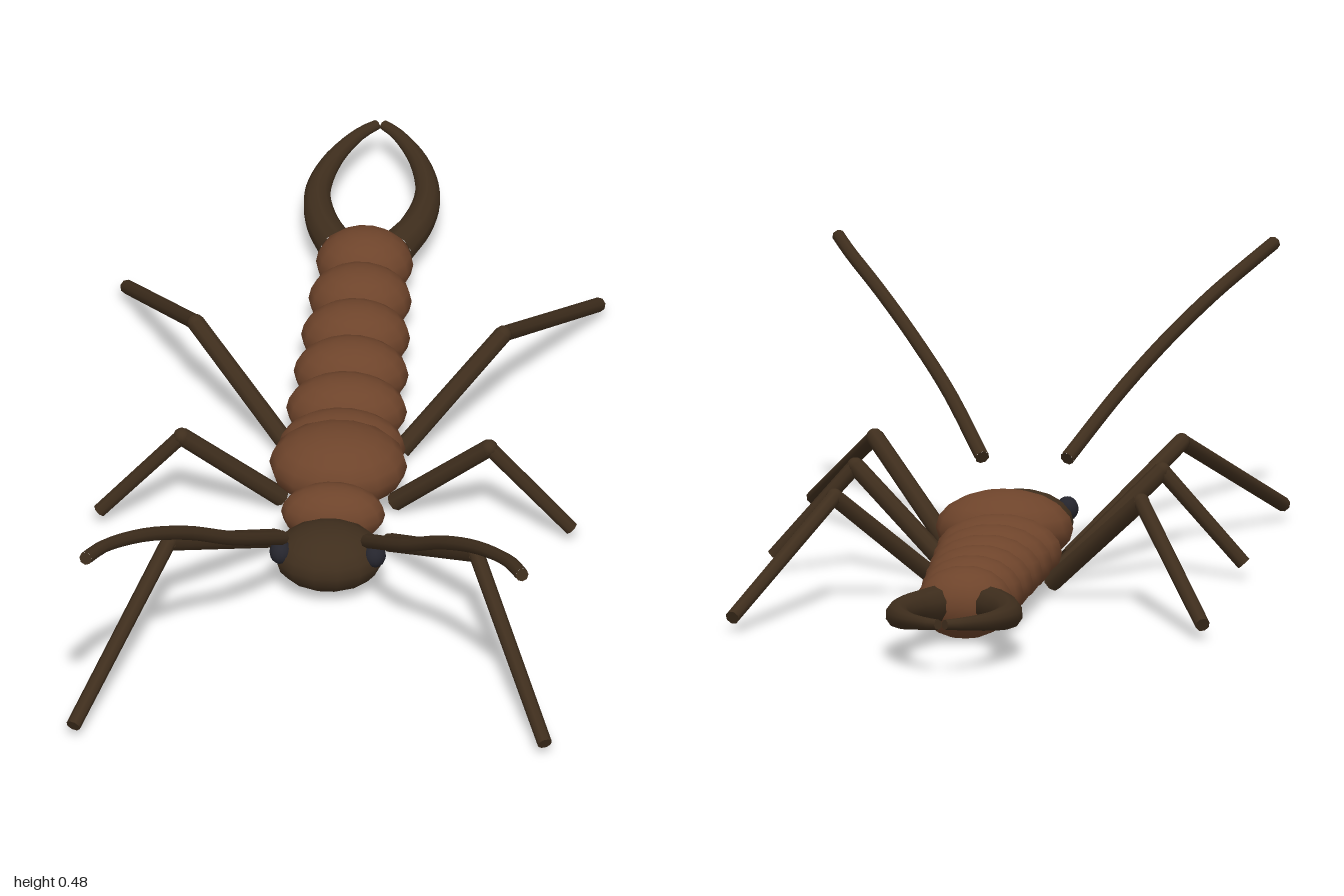
import * as THREE from 'three';

const shell = new THREE.MeshStandardMaterial({ color: 0x6e442b });
shell.name = 'chestnut shell';
const limb = new THREE.MeshStandardMaterial({ color: 0x3f2e1d });
limb.name = 'dark brown limb';
const eyeDark = new THREE.MeshStandardMaterial({ color: 0x25252d });
eyeDark.name = 'eye charcoal';

function ellipsoid(name, material, centre, radii) {
  const mesh = new THREE.Mesh(new THREE.SphereGeometry(1, 14, 10), material);
  mesh.name = name;
  mesh.position.set(...centre);
  mesh.scale.set(...radii);
  return mesh;
}

// Closed tube through points, tapering from r0 to r1
function taperedTube(name, points, r0, r1, steps, sides) {
  const group = new THREE.Group();
  group.name = name;
  const curve = new THREE.CatmullRomCurve3(points.map(p => new THREE.Vector3(...p)));
  const geo = new THREE.TubeGeometry(curve, steps, 1, sides, false);
  const pos = geo.attributes.position;
  const v = new THREE.Vector3();
  for (let i = 0; i < pos.count; i++) {
    const t = Math.floor(i / (sides + 1)) / steps;
    const c = curve.getPointAt(t);
    v.fromBufferAttribute(pos, i).sub(c).multiplyScalar(r0 + (r1 - r0) * t).add(c);
    pos.setXYZ(i, v.x, v.y, v.z);
  }
  group.add(new THREE.Mesh(geo, limb));
  // End caps
  for (const [t, r, dir] of [[0, r0, -1], [1, r1, 1]]) {
    const cap = new THREE.Mesh(new THREE.CircleGeometry(r, sides), limb);
    cap.position.copy(curve.getPointAt(t));
    cap.quaternion.setFromUnitVectors(new THREE.Vector3(0, 0, 1),
      curve.getTangentAt(t).multiplyScalar(dir));
    group.add(cap);
  }
  group.children.forEach(m => { m.name = name + 'Surface'; });
  return group;
}

// Straight capped rod between two points
function rod(name, a, b, r0, r1) {
  const from = new THREE.Vector3(...a), to = new THREE.Vector3(...b);
  const axis = to.clone().sub(from);
  const mesh = new THREE.Mesh(new THREE.CylinderGeometry(r1, r0, axis.length(), 8), limb);
  mesh.name = name;
  mesh.position.copy(from).add(to).multiplyScalar(0.5);
  mesh.quaternion.setFromUnitVectors(new THREE.Vector3(0, 1, 0), axis.normalize());
  return mesh;
}

export function createModel() {
  const model = new THREE.Group();
  model.name = 'earwig';

  // Abdomen: six overlapping segments, narrowing to the rear
  for (let i = 0; i < 6; i++) {
    model.add(ellipsoid('abdomenSegment' + (i + 1), shell,
      [0, 0.069, 0.002 - i * 0.117], [0.112 - i * 0.0052, 0.067 - i * 0.0005, 0.072]));
  }

  // Thorax, neck and head
  model.add(ellipsoid('thorax', shell, [0, 0.097, 0.1], [0.122, 0.068, 0.1]));
  model.add(ellipsoid('neck', shell, [0, 0.083, 0.235], [0.092, 0.055, 0.055]));
  model.add(ellipsoid('head', limb, [0, 0.07, 0.35], [0.097, 0.057, 0.082]));

  const legs = {
    frontLeg: [[0.1, 0.025, 0.235], [0.272, 0.192, 0.51], [0.417, 0.028, 0.86]],
    middleLeg: [[0.1, 0.025, 0.105], [0.272, 0.192, 0.173], [0.417, 0.028, 0.173]],
    rearLeg: [[0.1, 0.025, -0.06], [0.272, 0.192, -0.19], [0.417, 0.028, -0.54]],
  };

  for (const [side, s] of [['left', 1], ['right', -1]]) {
    const m = p => [p[0] * s, p[1], p[2]];
    model.add(ellipsoid(side + 'Eye', eyeDark, [0.083 * s, 0.09, 0.375], [0.02, 0.022, 0.022]));

    // Legs bent at a raised knee
    for (const [name, points] of Object.entries(legs)) {
      const [hip, knee, foot] = points.map(m);
      const leg = new THREE.Group();
      leg.name = side + name[0].toUpperCase() + name.slice(1);
      leg.add(rod('thigh', hip, knee, 0.017, 0.016));
      leg.add(rod('shin', knee, foot, 0.014, 0.013));
      leg.add(ellipsoid('knee', limb, knee, [0.015, 0.015, 0.015]));
      model.add(leg);
    }

    // Antenna sweeping forward and up
    model.add(taperedTube(side + 'Antenna', [
      [0.075, 0.168, 0.447], [0.153, 0.265, 0.6], [0.225, 0.343, 0.705],
      [0.296, 0.408, 0.815], [0.358, 0.455, 0.925], [0.386, 0.474, 0.995],
    ].map(m), 0.013, 0.012, 20, 8));

    // Curved rear pincer
    model.add(taperedTube(side + 'Pincer', [
      [0.05, 0.07, -0.625], [0.083, 0.073, -0.7], [0.097, 0.077, -0.79],
      [0.075, 0.083, -0.89], [0.032, 0.089, -0.965], [0.006, 0.091, -0.99],
    ].map(m), 0.034, 0.009, 20, 10));
  }
  return model;
}
